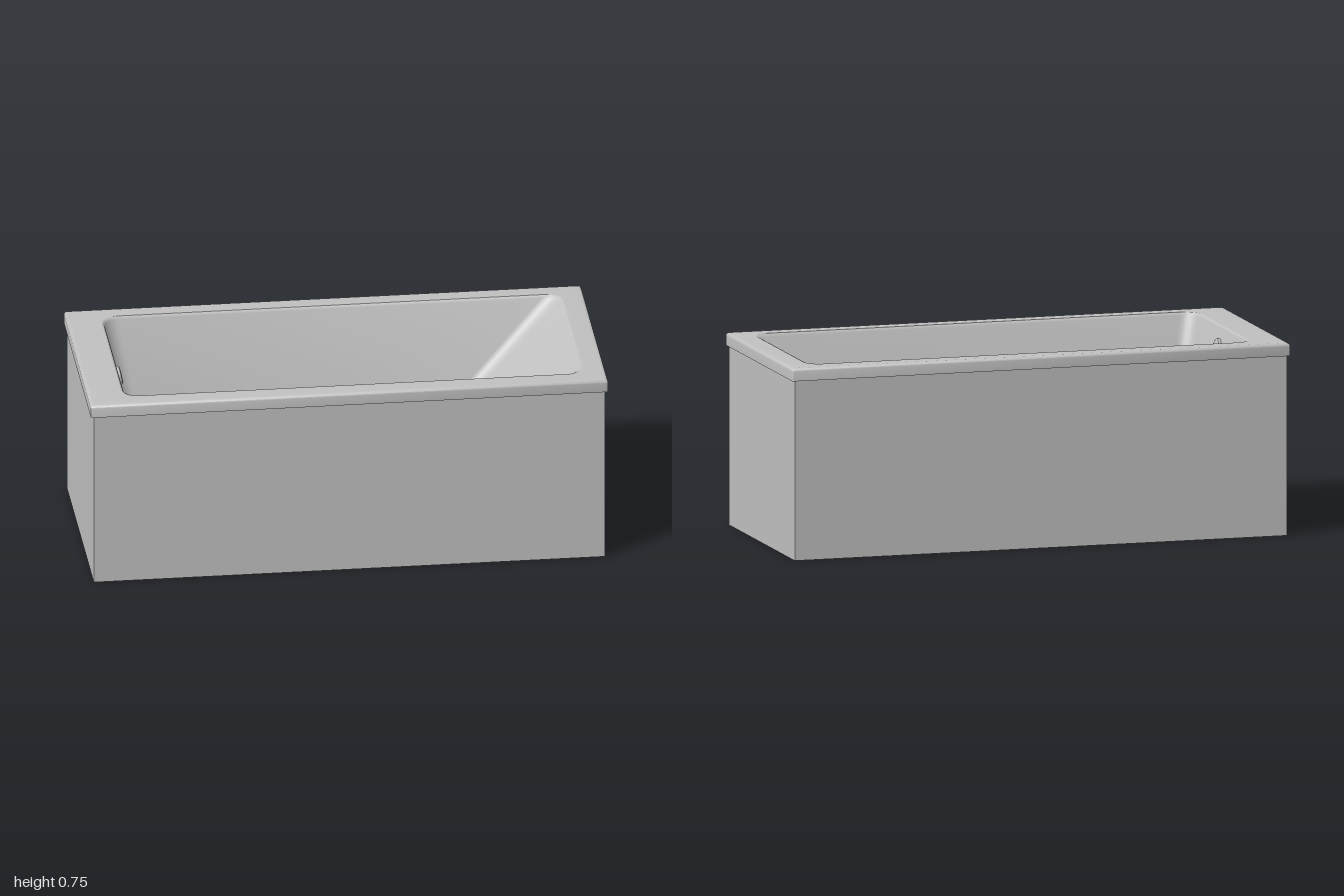
import * as THREE from 'three';
import { toCreasedNormals } from 'three/addons/utils/BufferGeometryUtils.js';

const CORNER_STEPS = 6;

// Rounded rectangle in plan, from x0 to x1 and -z to z, with corner radius r, at height y
const outline = (x0, x1, z, r, y) => ({ x0, x1, z, r, y });

function ringPoints({ x0, x1, z, r, y }) {
  const centres = [[x1 - r, z - r], [x0 + r, z - r], [x0 + r, r - z], [x1 - r, r - z]];
  const points = [];
  centres.forEach(([cx, cz], quarter) => {
    for (let i = 0; i <= CORNER_STEPS; i++) {
      const a = (quarter + i / CORNER_STEPS) * Math.PI / 2;
      points.push(cx + r * Math.cos(a), y, cz + r * Math.sin(a));
    }
  });
  return points;
}

// Skin a surface through a list of outlines
function loft(outlines, crease) {
  const n = 4 * (CORNER_STEPS + 1);
  const index = [];
  for (let i = 0; i < outlines.length - 1; i++) {
    for (let j = 0; j < n; j++) {
      const a = i * n + j, b = i * n + (j + 1) % n;
      index.push(a, a + n, b, b, a + n, b + n);
    }
  }
  const geometry = new THREE.BufferGeometry();
  geometry.setAttribute('position', new THREE.Float32BufferAttribute(outlines.flatMap(ringPoints), 3));
  geometry.setIndex(index);
  return toCreasedNormals(geometry, crease);
}

export function createModel() {
  const enamel = new THREE.MeshStandardMaterial({ color: 0xc0c0c0, side: THREE.DoubleSide });
  enamel.name = 'greyEnamel';
  const group = new THREE.Group();
  group.name = 'bathtub';
  const add = (name, geometry) => {
    const mesh = new THREE.Mesh(geometry, enamel);
    mesh.name = name;
    group.add(mesh);
    return mesh;
  };

  // Open-bottomed skirt of four thin panels
  const rectangle = (Type, x, z) => new Type([[-x, -z], [x, -z], [x, z], [-x, z]].map(p => new THREE.Vector2(...p)));
  const plan = rectangle(THREE.Shape, 0.988, 0.43);
  plan.holes.push(rectangle(THREE.Path, 0.978, 0.42));
  const skirt = new THREE.ExtrudeGeometry(plan, { depth: 0.7, bevelEnabled: false });
  add('skirt', skirt.rotateX(-Math.PI / 2));

  // Overhanging rim with a rounded upper edge and a soft inner lip
  const rimRings = [outline(-0.978, 0.978, 0.42, 0.002, 0.7), outline(-1, 1, 0.44, 0.006, 0.7)];
  const round = 0.013;
  for (let i = 0; i <= 4; i++) {
    const a = i / 4 * Math.PI / 2, inset = round * (1 - Math.cos(a));
    rimRings.push(outline(-1 + inset, 1 - inset, 0.44 - inset, 0.006, 0.75 - round + round * Math.sin(a)));
  }
  rimRings.push(outline(-0.868, 0.915, 0.366, 0.062, 0.75));
  add('rim', loft(rimRings, 0.6));

  // Basin: upright at the drain end, sloping backrest at the other
  const floorY = 0.195, topY = 0.75;
  const mix = THREE.MathUtils.lerp;
  const wall = (t, inset = 0) => outline(
    mix(-0.74, -0.86, t) + inset, mix(0.36, 0.905, t) - inset,
    mix(0.245, 0.36, t) - inset, mix(0.04, 0.058, t), mix(floorY, topY, t));
  const basinRings = [outline(-0.868, 0.915, 0.366, 0.062, topY), outline(-0.862, 0.909, 0.362, 0.06, topY - 0.003), wall(0.98)];
  for (let i = 5; i >= 0; i--) {
    const s = i / 5;
    basinRings.push(wall(0.08 * s * s, 0.02 * (1 - s) ** 2));
  }
  basinRings.push(outline(-0.5, 0.12, 0.001, 0.0005, floorY));
  add('basin', loft(basinRings, 0.6));

  // Round overflow cover on the upright end
  const profile = [[0, 0.016], [0.028, 0.016], [0.034, 0.013], [0.036, 0.008], [0.036, -0.004]];
  const cover = new THREE.LatheGeometry(profile.map(p => new THREE.Vector2(...p)).reverse(), 32);
  const overflow = add('overflowCover', toCreasedNormals(cover, 0.6));
  overflow.position.set(-0.845, 0.668, 0);
  overflow.rotation.z = -Math.PI / 2 + Math.atan2(0.12, topY - floorY);

  return group;
}
